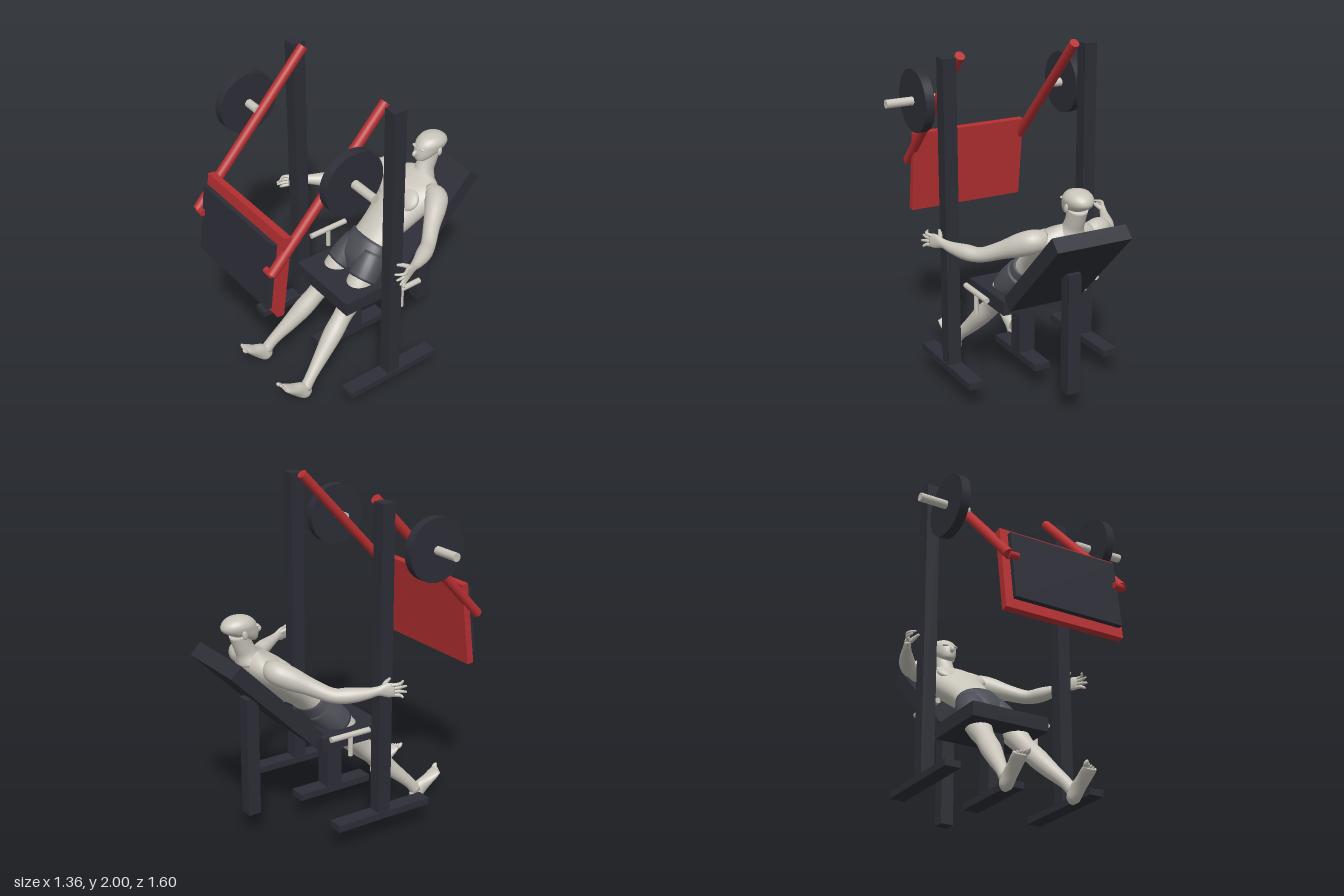
import * as THREE from 'three';

const material = (name, color) => Object.assign(new THREE.MeshStandardMaterial({ color }), { name });

export function createModel() {
  const dark = material('dark steel', 0x2d2e37);
  const red = material('red paint', 0xb52f31);
  const skin = material('pale grey', 0xc8c4ba);
  const cloth = material('shorts grey', 0x4b4d55);
  const model = new THREE.Group();
  model.name = 'legPressMachine';
  const machine = new THREE.Group();
  machine.name = 'machine';
  const person = new THREE.Group();
  person.name = 'person';
  model.add(machine, person);

  const add = (parent, name, geometry, mat) => {
    const mesh = new THREE.Mesh(geometry, mat);
    mesh.name = name;
    parent.add(mesh);
    return mesh;
  };
  // box given by its limits on each axis
  const box = (name, mat, x0, x1, y0, y1, z0, z1) =>
    add(machine, name, new THREE.BoxGeometry(x1 - x0, y1 - y0, z1 - z0), mat)
      .position.set((x0 + x1) / 2, (y0 + y1) / 2, (z0 + z1) / 2);
  // panel tilted back about x
  const slab = (name, mat, w, h, d, y, z, tilt) => {
    const mesh = add(machine, name, new THREE.BoxGeometry(w, h, d), mat);
    mesh.position.set(0, y, z);
    mesh.rotation.x = -tilt;
  };
  // straight round bar between two points
  const rod = (name, mat, p, q, r, sides = 24) => {
    const a = new THREE.Vector3(...p), b = new THREE.Vector3(...q);
    const mesh = add(machine, name, new THREE.CylinderGeometry(r, r, a.distanceTo(b), sides), mat);
    mesh.position.copy(a).add(b).multiplyScalar(0.5);
    mesh.quaternion.setFromUnitVectors(new THREE.Vector3(0, 1, 0), b.sub(a).normalize());
  };
  const ball = (name, x, y, z, rx, ry, rz, tilt = 0) => {
    const mesh = add(person, name, new THREE.SphereGeometry(1, 20, 14), skin);
    mesh.position.set(x, y, z);
    mesh.scale.set(rx, ry, rz);
    mesh.rotation.x = tilt;
  };
  // smooth body part through elliptical sections [x, y, z, halfWidth, halfDepth]
  const loft = (name, mat, sections, fixedDir = null, sides = 24) => {
    const centres = new THREE.CatmullRomCurve3(sections.map(s => new THREE.Vector3(s[0], s[1], s[2])), false, 'catmullrom');
    const radii = new THREE.CatmullRomCurve3(sections.map(s => new THREE.Vector3(s[3], s[4], 0)), false, 'catmullrom');
    const rings = (sections.length - 1) * 5;
    const pos = [], index = [];
    for (let i = 0; i <= rings; i++) {
      const c = centres.getPoint(i / rings), r = radii.getPoint(i / rings);
      const t = fixedDir ? fixedDir.clone() : centres.getTangent(i / rings);
      const u = new THREE.Vector3(1, 0, 0).addScaledVector(t, -t.x).normalize();
      const v = t.clone().cross(u);
      for (let j = 0; j < sides; j++) {
        const th = j / sides * Math.PI * 2;
        const p = c.clone().addScaledVector(u, r.x * Math.cos(th)).addScaledVector(v, r.y * Math.sin(th));
        pos.push(p.x, p.y, p.z);
        const k = (j + 1) % sides, a = i * sides + j, b = i * sides + k;
        if (i < rings) index.push(a, b, b + sides, a, b + sides, a + sides);
      }
    }
    // end caps
    const first = sections[0], last = sections[sections.length - 1];
    const n = pos.length / 3;
    pos.push(...first.slice(0, 3), ...last.slice(0, 3));
    for (let j = 0; j < sides; j++) {
      const k = (j + 1) % sides;
      index.push(n, k, j, n + 1, rings * sides + j, rings * sides + k);
    }
    const g = new THREE.BufferGeometry();
    g.setAttribute('position', new THREE.Float32BufferAttribute(pos, 3));
    g.setIndex(index);
    g.computeVertexNormals();
    return add(person, name, g, mat);
  };

  // seat, backrest and their supports
  box('seat', dark, -0.245, 0.245, 0.515, 0.6, -0.227, 0.197);
  slab('backrest', dark, 0.46, 0.745, 0.09, 0.85, -0.503, Math.PI / 4);
  box('seatPost', dark, -0.05, 0.05, 0.15, 0.53, -0.065, 0.035);
  box('seatFoot', dark, -0.05, 0.05, 0.13, 0.17, -0.25, 0.24);
  box('backPost', dark, -0.04, 0.04, 0.13, 0.85, -0.6, -0.522);

  // foot plate and its pad
  slab('footPlate', red, 0.745, 0.505, 0.042, 1.145, 0.703, 0.13);
  slab('footPad', dark, 0.675, 0.412, 0.028, 1.15, 0.757, 0.13);

  for (const s of [1, -1]) {
    const [x0, x1] = s > 0 ? [0.41, 0.49] : [-0.49, -0.41];
    box('upright', dark, x0, x1, 0.15, 1.98, -0.008, 0.074);
    box('uprightFoot', dark, x0 - 0.006, x1 + 0.006, 0.13, 0.17, -0.282, 0.352);
    rod('swingArm', red, [s * 0.365, 1.98, 0.035], [s * 0.365, 1.196, 0.778], 0.029);
    rod('armPeg', red, [s * 0.365, 1.197, 0.776], [s * 0.31, 1.197, 0.776], 0.02);
    rod('weightBar', skin, [s * 0.37, 1.68, 0.347], [s * 0.68, 1.68, 0.347], 0.025);
    rod('weightDisc', dark, [s * 0.46, 1.68, 0.347], [s * 0.515, 1.68, 0.347], 0.184, 48);
    rod('handleGrip', skin, [s * 0.362, 0.642, -0.25], [s * 0.362, 0.642, 0.012], 0.017);
    rod('handleStem', skin, [s * 0.362, 0.515, -0.117], [s * 0.362, 0.642, -0.117], 0.014);
  }

  // head and neck
  loft('head', skin, [
    [0, 1.19, -0.53, 0.012, 0.012], [0, 1.2, -0.542, 0.038, 0.04], [0, 1.23, -0.575, 0.06, 0.078],
    [0, 1.265, -0.608, 0.073, 0.107], [0, 1.3, -0.616, 0.077, 0.1], [0, 1.331, -0.616, 0.056, 0.066],
    [0, 1.345, -0.616, 0.01, 0.012]], new THREE.Vector3(0, 1, 0), 32);
  ball('nose', 0, 1.246, -0.493, 0.013, 0.021, 0.021, 0.3);
  ball('mouth', 0, 1.217, -0.513, 0.022, 0.009, 0.014);
  loft('neck', skin, [[0, 1.07, -0.555, 0.085, 0.07], [0, 1.12, -0.57, 0.058, 0.06],
    [0, 1.17, -0.592, 0.055, 0.056], [0, 1.24, -0.615, 0.058, 0.058]]);

  // torso from waist to neck base
  loft('torso', skin, [
    [0, 0.74, -0.15, 0.135, 0.085], [0, 0.82, -0.24, 0.138, 0.088], [0, 0.895, -0.34, 0.163, 0.1],
    [0, 0.98, -0.445, 0.195, 0.106], [0, 1.04, -0.515, 0.2, 0.085],
    [0, 1.085, -0.555, 0.125, 0.062], [0, 1.105, -0.575, 0.05, 0.045]], null, 36);
  loft('shortsHips', cloth, [
    [0, 0.59, -0.045, 0.08, 0.05], [0, 0.65, -0.085, 0.165, 0.095], [0, 0.71, -0.125, 0.16, 0.102],
    [0, 0.775, -0.175, 0.142, 0.096]], null, 36);

  for (const s of [1, -1]) {
    const side = list => list.map(([x, ...rest]) => [s * x, ...rest]);
    ball('chestMuscle', s * 0.08, 1.015, -0.375, 0.085, 0.075, 0.032, -Math.PI / 4);
    ball('ear', s * 0.076, 1.25, -0.618, 0.009, 0.026, 0.016, -0.2);
    ball('brow', s * 0.028, 1.279, -0.519, 0.026, 0.009, 0.014);
    // arm reaching forward and out
    loft('arm', skin, side([
      [0.13, 1.05, -0.51, 0.045, 0.05], [0.2, 1.045, -0.495, 0.068, 0.066], [0.255, 1.02, -0.445, 0.064, 0.066],
      [0.325, 0.975, -0.36, 0.05, 0.05], [0.405, 0.932, -0.27, 0.044, 0.042], [0.46, 0.932, -0.19, 0.046, 0.044],
      [0.505, 0.94, -0.11, 0.033, 0.033], [0.53, 0.95, -0.055, 0.023, 0.027],
      [0.553, 0.953, -0.005, 0.018, 0.042], [0.57, 0.95, 0.03, 0.014, 0.038]]));
    [[0.555, 0.985, 0.1], [0.58, 0.962, 0.105], [0.597, 0.935, 0.093], [0.6, 0.908, 0.07]].forEach(([x, y, z], i) => {
      const y0 = 0.979 - i * 0.018;
      loft('finger', skin, side([[0.562, y0, 0.01, 0.011, 0.011], [0.582, (y0 + y) / 2 + 0.003, 0.055, 0.01, 0.01],
        [x, y, z, 0.006, 0.006]]), null, 10);
    });
    loft('thumb', skin, side([[0.54, 0.965, -0.03, 0.014, 0.014], [0.52, 0.985, 0.008, 0.012, 0.012],
      [0.508, 0.997, 0.045, 0.007, 0.007]]), null, 10);
    // leg passing down and forward to the ankle
    loft('leg', skin, side([
      [0.095, 0.69, -0.1, 0.075, 0.075], [0.108, 0.58, -0.005, 0.081, 0.08], [0.122, 0.49, 0.07, 0.07, 0.068],
      [0.132, 0.415, 0.14, 0.056, 0.057], [0.15, 0.325, 0.23, 0.059, 0.056], [0.172, 0.235, 0.32, 0.047, 0.047],
      [0.198, 0.14, 0.42, 0.034, 0.035], [0.21, 0.07, 0.48, 0.034, 0.036]]));
    loft('shortsLeg', cloth, side([
      [0.08, 0.72, -0.135, 0.08, 0.09], [0.095, 0.655, -0.075, 0.09, 0.094], [0.107, 0.595, -0.02, 0.09, 0.089]]));
    // foot with the toes pointing up
    loft('foot', skin, side([
      [0.208, 0.012, 0.455, 0.012, 0.018], [0.208, 0.035, 0.472, 0.035, 0.041], [0.209, 0.08, 0.515, 0.036, 0.047],
      [0.211, 0.115, 0.567, 0.041, 0.032], [0.213, 0.145, 0.606, 0.046, 0.021],
      [0.213, 0.162, 0.628, 0.043, 0.013]]));
    for (let i = 0; i < 5; i++) {
      const r = i ? 0.0095 - i * 0.0006 : 0.013;
      ball('toe', s * (0.178 + i * 0.0185), 0.173 - i * 0.004, 0.643 - i * 0.006, r, r * 0.95, r * 1.8, -0.8);
    }
  }
  return model;
}
